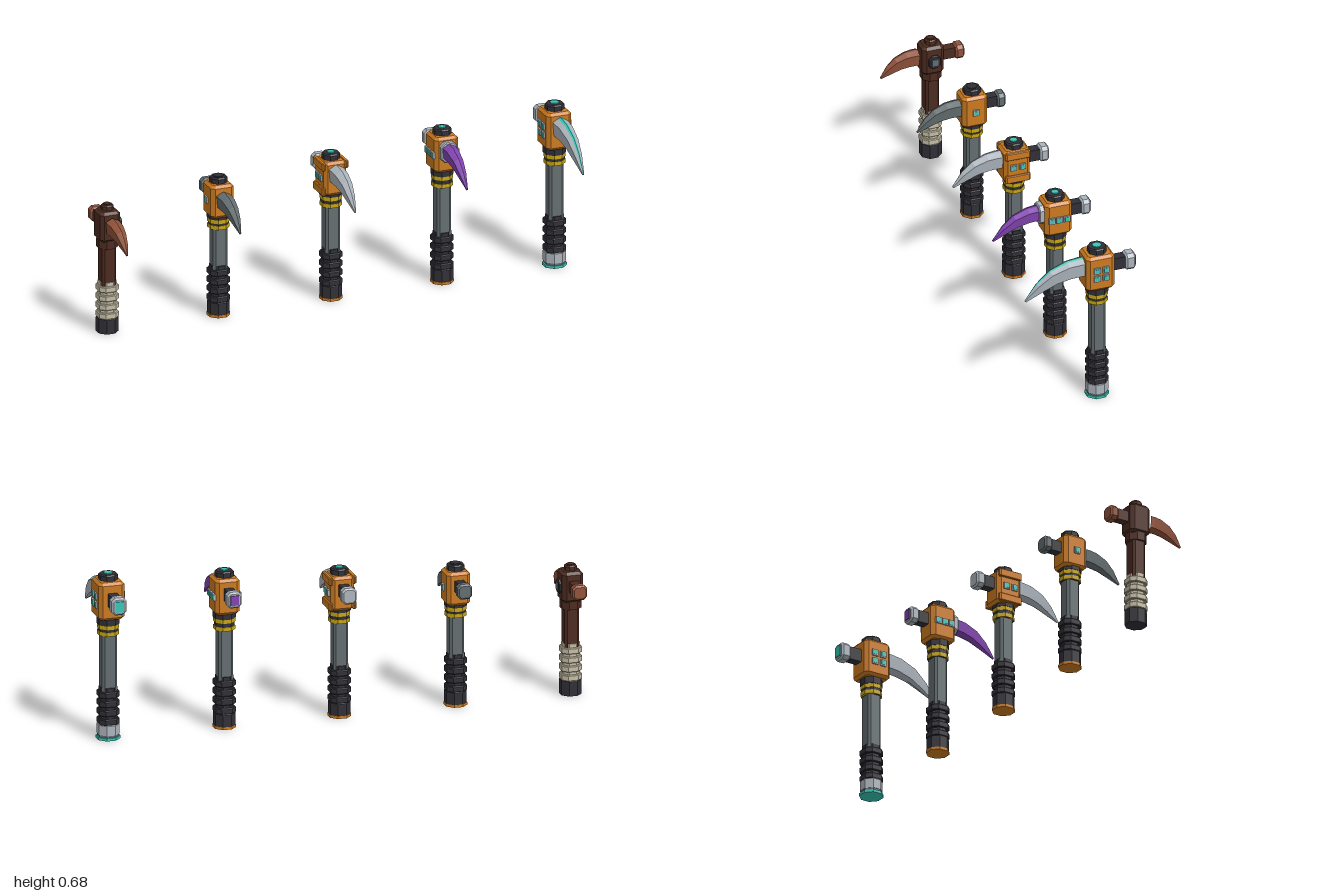
import * as THREE from 'three';

const mat = (name, color) => {
  const m = new THREE.MeshStandardMaterial({ color });
  m.name = name;
  return m;
};
const M = {
  orange: mat('orange', 0xcb7a20), dark: mat('charcoal', 0x302f36), steel: mat('steel', 0x646d70),
  silver: mat('silver', 0xacb4bc), teal: mat('teal', 0x36c6b6), purple: mat('purple', 0x8244b0),
  yellow: mat('yellow', 0xc8a512), rust: mat('rust', 0x91523a), brown: mat('darkBrown', 0x4c2b20),
  cream: mat('cream', 0xc4bca4),
};
const AXIS_Z = -0.072;

const flat = (g) => {
  const n = g.index ? g.toNonIndexed() : g;
  n.computeVertexNormals();
  return n;
};
function add(parent, name, geo, material, x = 0, y = 0, z = 0) {
  const m = new THREE.Mesh(geo, material);
  m.name = name;
  m.position.set(x, y, z);
  parent.add(m);
  return m;
}
// eight-sided drum between two heights
function drum(parent, name, r, y0, y1, material, rTop = r) {
  const k = 1 / Math.cos(Math.PI / 8);
  const g = new THREE.CylinderGeometry(rTop * k, r * k, y1 - y0, 8);
  g.rotateY(Math.PI / 8);
  return add(parent, name, flat(g), material, 0, (y0 + y1) / 2, 0);
}
// box with cut corners along its depth axis and bevelled ends
function chamferBox(w, h, d, c, bevel) {
  const a = w / 2 - bevel, b = h / 2 - bevel;
  const s = new THREE.Shape([[a - c, -b], [a, c - b], [a, b - c], [a - c, b],
    [c - a, b], [-a, b - c], [-a, c - b], [c - a, -b]].map((p) => new THREE.Vector2(...p)));
  const g = new THREE.ExtrudeGeometry(s, {
    depth: d - 2 * bevel, bevelEnabled: bevel > 0, bevelSize: bevel, bevelThickness: bevel, bevelSegments: 1,
  });
  return flat(g.translate(0, 0, bevel - d / 2));
}
const uprightBox = (w, h, d, c, bevel) => chamferBox(w, d, h, c, bevel).rotateX(-Math.PI / 2);

// curved spike: ridged section swept along a drooping arc; the ridge is material group 1
function bladeGeometry(s, h, w) {
  // z, drop, tilt, relative height, relative width
  const stations = [[-0.03, 0, 0, 1, 1], [0, 0, 0, 1, 1], [0.047, -0.004, 0.15, 0.98, 0.9],
    [0.11, -0.024, 0.42, 0.85, 0.73], [0.165, -0.06, 0.65, 0.6, 0.5], [0.226, -0.112, 0.8, 0.12, 0.1]];
  const section = [[0, 0.5], [0.28, 0.45], [1, 0.3], [0.85, -0.36], [0.22, -0.5],
    [-0.22, -0.5], [-0.85, -0.36], [-1, 0.3], [-0.28, 0.45]];
  const n = section.length;
  const rings = stations.map(([z, y, t, hs, ws]) => section.map(([u, v]) =>
    [u * w * ws, y * s + v * h * hs * Math.cos(t), z * s + v * h * hs * Math.sin(t)]));
  const body = [], ridge = [];
  for (let i = 0; i < rings.length - 1; i++) {
    for (let j = 0; j < n; j++) {
      const k = (j + 1) % n;
      const [a, b, c, d] = [rings[i][j], rings[i][k], rings[i + 1][k], rings[i + 1][j]];
      (j === 0 || j === n - 1 ? ridge : body).push(a, d, c, a, c, b);
    }
  }
  const tip = rings[rings.length - 1];
  for (let j = 1; j < n - 1; j++) body.push(tip[0], tip[j + 1], tip[j]);
  const g = new THREE.BufferGeometry();
  g.setAttribute('position', new THREE.Float32BufferAttribute([...body, ...ridge].flat(), 3));
  g.addGroup(0, body.length, 0);
  g.addGroup(body.length, ridge.length, 1);
  g.computeVertexNormals();
  return g;
}

// one entry per tool, from the plainest to the most advanced
const TOOLS = [
  { x: -0.955, top: 0.535, head: [0.385, 0.51], hw: 0.043, hd: 0.045, cap: 0.024, bands: [], blade: [0.6, 0.07, 0.028, 0.455],
    ham: [0.453, 0.06, -0.168, -0.205], spike: 'rust', ridge: 'rust', hammer: 'rust', arm: 'brown', wood: true, windows: [] },
  { x: -0.485, top: 0.585, head: [0.42, 0.557], hw: 0.048, hd: 0.052, cap: 0.033, bands: [0.401, 0.376], blade: [0.69, 0.072, 0.029, 0.495],
    ham: [0.503, 0.062, -0.17, -0.205], spike: 'steel', ridge: 'steel', hammer: 'steel', arm: 'dark', windows: [[0, 0]] },
  { x: -0.01, top: 0.615, head: [0.447, 0.587], hw: 0.048, hd: 0.055, cap: 0.034, bands: [0.427, 0.398], blade: [0.8, 0.077, 0.03, 0.537],
    ham: [0.533, 0.066, -0.174, -0.212], spike: 'silver', ridge: 'silver', hammer: 'silver', arm: 'dark', guards: true,
    gem: 0.014, windows: [[-1, 0], [1, 0]] },
  { x: 0.46, top: 0.65, head: [0.475, 0.622], hw: 0.05, hd: 0.056, cap: 0.035, bands: [0.444, 0.412], blade: [0.83, 0.066, 0.028, 0.568],
    ham: [0.563, 0.066, -0.175, -0.213], spike: 'purple', ridge: 'purple', hammer: 'silver', arm: 'dark', plate: 'purple',
    sleeve: true, gem: 0.014, windows: [[-1.7, 0], [0, 0], [1.7, 0]] },
  { x: 0.935, top: 0.683, head: [0.5, 0.655], hw: 0.053, hd: 0.059, cap: 0.036, bands: [0.464, 0.437], blade: [1, 0.085, 0.031, 0.595],
    ham: [0.587, 0.071, -0.184, -0.226], spike: 'silver', ridge: 'teal', hammer: 'silver', arm: 'dark', plate: 'teal',
    gem: 0.017, fancy: true, windows: [[-1, -1], [1, -1], [-1, 1], [1, 1]] },
];

function buildHandle(g, t) {
  const [y0] = t.head;
  add(g, 'shaft', uprightBox(0.06, y0 - 0.17, 0.058, 0.009, 0), t.wood ? M.brown : M.steel, 0, (y0 + 0.19) / 2, 0);
  const grip = t.wood ? M.cream : M.dark;
  drum(g, 'grip', 0.034, 0.06, 0.213, grip);
  for (let i = 0; i < 4; i++) {
    add(g, 'gripRing', uprightBox(0.082, 0.025, 0.082, 0.018, 0.003), grip, 0, 0.185 - i * 0.037, 0);
  }
  // pommel
  if (t.fancy) {
    drum(g, 'pommel', 0.042, 0.02, 0.06, M.silver);
    drum(g, 'pommelTop', 0.042, 0.06, 0.066, M.silver, 0.037);
    drum(g, 'pommelNeck', 0.04, 0.01, 0.02, M.steel);
    drum(g, 'pommelBase', 0.045, 0, 0.011, M.teal);
  } else {
    const base = t.wood ? 0 : 0.011;
    drum(g, 'pommel', 0.041, base, 0.06, M.dark);
    drum(g, 'pommelTop', 0.041, 0.06, 0.066, M.dark, 0.036);
    if (base) drum(g, 'pommelBase', 0.043, 0, base, M.orange);
  }
  // collar with warning bands
  if (t.wood) {
    drum(g, 'collar', 0.04, y0 - 0.03, y0 + 0.005, M.brown);
  } else {
    const low = Math.min(...t.bands) - 0.008;
    drum(g, 'collar', 0.038, low, y0, M.dark);
    drum(g, 'collarTop', 0.042, Math.max(...t.bands) + 0.008, y0 + 0.004, M.dark);
    for (const y of t.bands) drum(g, 'yellowBand', 0.04, y - 0.008, y + 0.008, M.yellow);
  }
}

function buildHead(g, t) {
  const [y0, y1] = t.head, mid = (y0 + y1) / 2;
  const shell = t.wood ? M.brown : M.orange;
  add(g, 'head', uprightBox(t.hw * 2, y1 - y0, t.hd * 2, 0.008, 0.011), shell, 0, mid, 0);
  if (t.guards) {
    for (const sx of [-1, 1]) for (const y of [y0 + 0.018, y1 - 0.018]) {
      add(g, 'cornerGuard', uprightBox(0.016, 0.032, t.hd * 1.9, 0.004, 0.003), M.orange, sx * t.hw, y, 0);
    }
  }
  // cap
  drum(g, 'cap', t.cap, y1 - 0.004, t.top - 0.009, t.wood ? M.brown : M.dark);
  drum(g, 'capTop', t.cap, t.top - 0.009, t.top - 0.004, t.wood ? M.brown : M.dark, t.cap - 0.004);
  drum(g, 'capCentre', t.gem || t.cap * 0.6, t.top - 0.005, t.top, t.gem ? M.teal : t.wood ? M.brown : M.dark);
  // side windows, or a single stud on the plain tool
  for (const s of [-1, 1]) for (const [u, v] of t.windows) {
    add(g, 'windowFrame', new THREE.BoxGeometry(0.009, 0.026, 0.026), M.silver, s * (t.hw + 0.002), mid + v * 0.018, u * 0.018);
    add(g, 'window', new THREE.BoxGeometry(0.004, 0.017, 0.017), M.teal, s * (t.hw + 0.006), mid + v * 0.018, u * 0.018);
  }
  if (t.wood) {
    add(g, 'studPlate', chamferBox(0.05, 0.056, 0.012, 0.012, 0.003).rotateY(Math.PI / 2), M.dark, t.hw + 0.005, mid, 0);
    add(g, 'stud', new THREE.BoxGeometry(0.006, 0.028, 0.026), M.steel, t.hw + 0.011, mid, 0);
  }
}

function buildTools(g, t) {
  // curved spike at the front
  const [s, h, w, y] = t.blade;
  add(g, 'spike', bladeGeometry(s, h, w), [M[t.spike], M[t.ridge]], 0, y, -AXIS_Z);
  if (t.sleeve) add(g, 'spikeSleeve', chamferBox(0.07, 0.082, 0.026, 0.014, 0.004), M.silver, 0, y - 0.002, -AXIS_Z - 0.009);
  // hammer at the back
  const [hy, hh, z0, z1] = t.ham;
  const armEnd = z0 - AXIS_Z - 0.006;
  add(g, 'hammerArm', new THREE.BoxGeometry(0.038, hh * 0.74, -armEnd), M[t.arm], 0, hy, armEnd / 2);
  add(g, 'hammer', chamferBox(0.06, hh, z0 - z1, 0.009, 0.007), M[t.hammer], 0, hy, (z0 + z1) / 2 - AXIS_Z);
  if (t.plate) add(g, 'hammerPlate', new THREE.BoxGeometry(0.034, hh * 0.6, 0.006), M[t.plate], 0, hy, z1 - AXIS_Z - 0.001);
}

export function createModel() {
  const model = new THREE.Group();
  model.name = 'pickaxeSet';
  TOOLS.forEach((t, i) => {
    const g = new THREE.Group();
    g.name = 'pickaxe' + (i + 1);
    g.position.set(t.x, 0, AXIS_Z);
    buildHandle(g, t);
    buildHead(g, t);
    buildTools(g, t);
    model.add(g);
  });
  return model;
}
